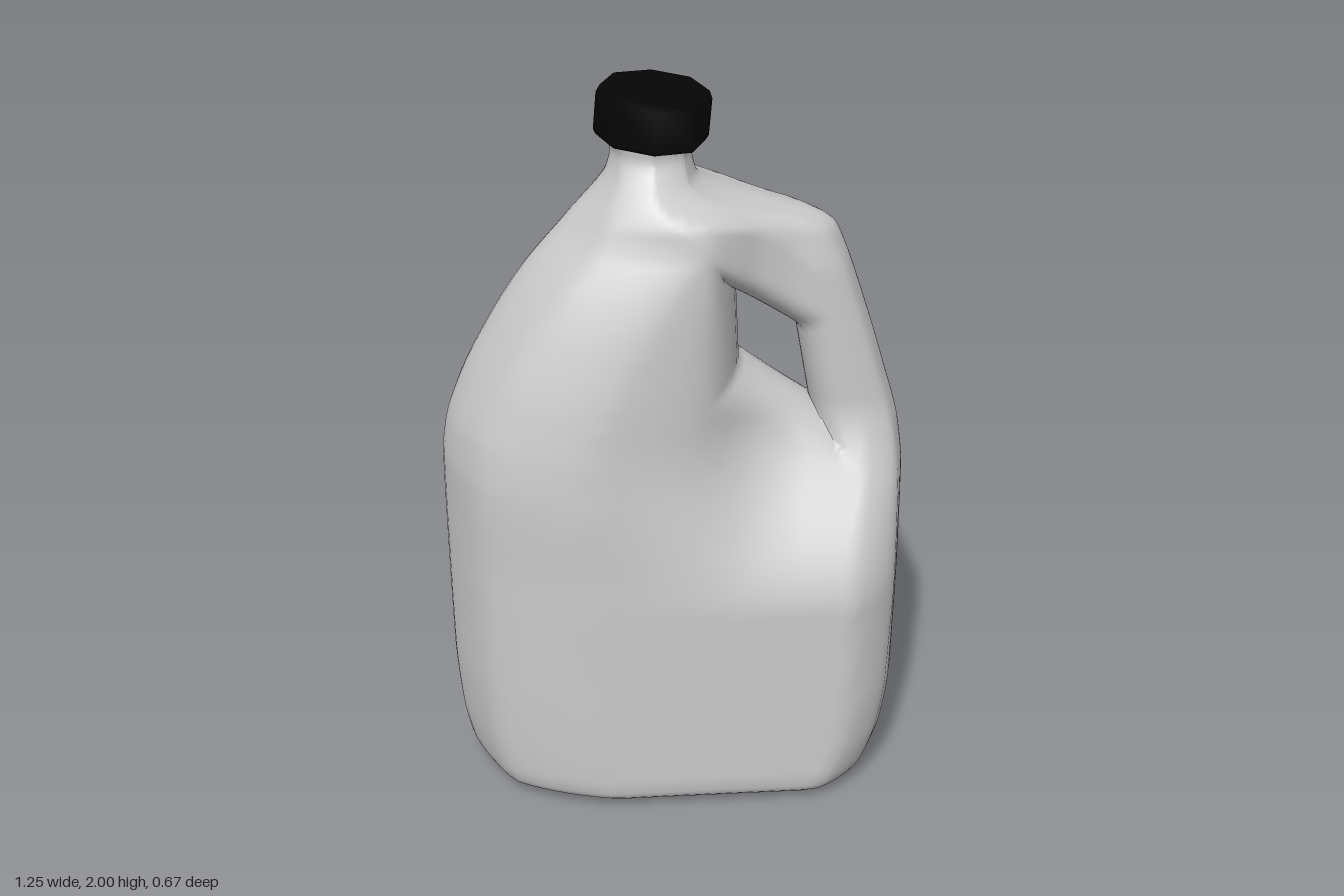
import * as THREE from 'three';
import { mergeVertices, toCreasedNormals } from 'three/addons/utils/BufferGeometryUtils.js';

// Piecewise-linear curve through [position, value] pairs
function linear(points) {
  return (p) => {
    if (p <= points[0][0]) return points[0][1];
    for (let i = 1; i < points.length; i++) {
      const [a, va] = points[i - 1], [b, vb] = points[i];
      if (p <= b) return va + (vb - va) * (p - a) / (b - a);
    }
    return points[points.length - 1][1];
  };
}

// Smooth curve through the same kind of pairs, without overshoot
function smooth(points) {
  const slope = points.slice(1).map(([b, vb], i) => (vb - points[i][1]) / (b - points[i][0]));
  const tangent = points.map((_, i) => {
    if (i === 0) return slope[0];
    if (i === slope.length) return slope[i - 1];
    const product = slope[i - 1] * slope[i];
    return product > 0 ? 2 * product / (slope[i - 1] + slope[i]) : 0;
  });
  return (p) => {
    let i = 0;
    while (i < slope.length - 1 && p > points[i + 1][0]) i++;
    const [a, va] = points[i], [b, vb] = points[i + 1];
    const w = b - a, t = THREE.MathUtils.clamp((p - a) / w, 0, 1), u = 1 - t;
    return u * u * (1 + 2 * t) * va + t * t * (3 - 2 * t) * vb + w * t * u * (u * tangent[i] - t * tangent[i + 1]);
  };
}

// Side outlines by height
const LEFT_EDGE = [[0, -0.46], [0.015, -0.51], [0.04, -0.567], [0.1, -0.59], [0.2, -0.607], [0.4, -0.62], [0.97, -0.625],
  [1.077, -0.613], [1.2, -0.573], [1.38, -0.482], [1.51, -0.398], [1.65, -0.282], [1.767, -0.183], [1.8, -0.17], [1.83, -0.165], [1.87, -0.178]];
const RIGHT_EDGE = [[0, 0.42], [0.015, 0.48], [0.04, 0.54], [0.1, 0.57], [0.2, 0.6], [0.35, 0.617], [0.9, 0.622],
  [1.03, 0.608], [1.2, 0.562], [1.43, 0.49], [1.57, 0.44], [1.62, 0.415], [1.65, 0.365], [1.69, 0.235], [1.735, 0.1], [1.77, 0.055], [1.83, 0.043], [1.87, 0.06]];
// Half depth by height
const DEPTH = [[0, 0.25], [0.015, 0.29], [0.04, 0.325], [0.1, 0.335], [0.7, 0.338], [0.95, 0.347], [1.2, 0.335],
  [1.4, 0.313], [1.53, 0.286], [1.67, 0.235], [1.75, 0.168], [1.79, 0.132], [1.83, 0.11], [1.87, 0.115]];
// Half depth where the body is pinched in towards the handle, by x
const PINCH = [[-0.63, 0.7], [-0.25, 0.42], [0.05, 0.26], [0.14, 0.185], [0.22, 0.135], [0.32, 0.11], [0.6, 0.105]];
// Rise from an edge to full depth, as fractions of the edge radius
const ROUND_LEFT = [[0, 0], [0.27, 0.69], [1, 1]];
const ROUND_RIGHT = [[0, 0], [0.24, 0.67], [0.88, 0.94], [1, 1]];
// Corners of the finger hole, counter-clockwise
const HOLE = [[0.16, 1.45], [0.17, 1.25], [0.36, 1.12], [0.32, 1.34]];
// Seam curves: one on each side of the hole, joined above and below it
const BELOW = [[0, 0], [0.8, 0.3], [1.02, 0.42], [1.12, 0.36]];
const ABOVE = [[1.45, 0.16], [1.53, 0.115], [1.65, 0.07], [1.735, 0.01], [1.87, -0.05]];
const holeLeft = linear([...BELOW, [1.25, 0.17], ...ABOVE]);
const holeRight = linear([...BELOW, [1.34, 0.32], ...ABOVE]);
const leftEdge = smooth(LEFT_EDGE), rightEdge = smooth(RIGHT_EDGE);
const depth = smooth(DEPTH), pinch = smooth(PINCH);
const cornerLeft = linear(ROUND_LEFT), cornerRight = linear(ROUND_RIGHT);

// Quarter-ellipse rise from 0 to 1 over the given radius
function round(distance, radius) {
  const u = 1 - THREE.MathUtils.clamp(distance / radius, 0, 1);
  return Math.sqrt(1 - u * u);
}

// Rounded edge, flattened towards its corner chords
function edge(distance, radius, corner) {
  return (round(distance, radius) + corner(distance / radius)) / 2;
}

function holeDistance(x, y) {
  let d = -Infinity;
  HOLE.forEach(([ax, ay], i) => {
    const [bx, by] = HOLE[(i + 1) % HOLE.length];
    const ex = bx - ax, ey = by - ay;
    d = Math.max(d, ((x - ax) * ey - (y - ay) * ex) / Math.hypot(ex, ey));
  });
  return d;
}

// Half depth of the jug at any point of its side view
function halfDepth(x, y) {
  const { lerp, smoothstep } = THREE.MathUtils;
  const l = leftEdge(y), r = rightEdge(y), half = (r - l) / 2;
  const full = depth(y);
  const pinched = full / Math.pow(1 + Math.pow(full / pinch(x), 6), 1 / 6);
  const w = smoothstep(y, 0.62, 1.14) * (1 - smoothstep(y, 1.7, 1.82));
  const rightRadius = lerp(0.17, 0.1, w * (1 - smoothstep(y, 1.5, 1.65)));
  return lerp(full, pinched, w) * edge(x - l, Math.min(0.37, half), cornerLeft)
    * edge(r - x, Math.min(rightRadius, half), cornerRight) * round(holeDistance(x, y), 0.085);
}

function jugGeometry() {
  // Row heights: every key height, subdivided
  const heights = [...LEFT_EDGE, ...RIGHT_EDGE, ...DEPTH, ...BELOW, ...ABOVE, [1.25], [1.34]].map((p) => p[0]);
  const keys = [...new Set(heights)].sort((a, b) => a - b);
  const rows = [0];
  for (let i = 1; i < keys.length; i++) {
    const n = Math.ceil((keys[i] - keys[i - 1]) / 0.016);
    for (let k = 1; k <= n; k++) rows.push(keys[i - 1] + (keys[i] - keys[i - 1]) * k / n);
  }
  const N = 24, positions = [], index = [];
  // Two lofts, body side and handle side, each with a front and a back
  for (const [from, to] of [[leftEdge, holeLeft], [holeRight, rightEdge]]) {
    const start = positions.length / 3;
    const at = (j, i, back) => start + (j * (N + 1) + i) * 2 + back;
    rows.forEach((y, j) => {
      for (let i = 0; i <= N; i++) {
        const t = (1 - Math.cos(Math.PI * i / N)) / 2;
        const x = from(y) + (to(y) - from(y)) * t;
        const z = halfDepth(x, y);
        positions.push(x, y, z, x, y, -z);
      }
      if (j === 0) return;
      for (let i = 0; i < N; i++) {
        for (const s of [0, 1]) {
          const a = at(j - 1, i, s), b = at(j - 1, i + 1, s), c = at(j, i + 1, s), d = at(j, i, s);
          if (s === 0) index.push(a, b, c, a, c, d);
          else index.push(a, c, b, a, d, c);
        }
      }
    });
    // Base
    for (let i = 0; i < N; i++) {
      const a = at(0, i, 0), b = at(0, i, 1), c = at(0, i + 1, 1), d = at(0, i + 1, 0);
      index.push(a, b, c, a, c, d);
    }
  }
  const geometry = new THREE.BufferGeometry();
  geometry.setAttribute('position', new THREE.Float32BufferAttribute(positions, 3));
  geometry.setIndex(index);
  return toCreasedNormals(mergeVertices(geometry, 1e-4), 1.1);
}

export function createModel() {
  const group = new THREE.Group();
  group.name = 'jug';

  // Bottle with its moulded handle and neck
  const body = new THREE.Mesh(jugGeometry(),
    new THREE.MeshStandardMaterial({ color: 0xcccccc, side: THREE.DoubleSide }));
  body.name = 'bottleWithHandle';
  group.add(body);

  // Eight-sided screw cap, slightly tilted
  const profile = [[0, -0.065], [0.14, -0.065], [0.147, -0.052], [0.147, 0.045], [0.138, 0.065], [0, 0.065]];
  const capGeometry = new THREE.LatheGeometry(profile.map(([r, y]) => new THREE.Vector2(r, y)), 8);
  const cap = new THREE.Mesh(capGeometry, new THREE.MeshStandardMaterial({ color: 0x050505 }));
  cap.name = 'cap';
  cap.position.set(-0.055, 1.923, 0);
  cap.rotation.z = -0.085;
  group.add(cap);

  return group;
}
